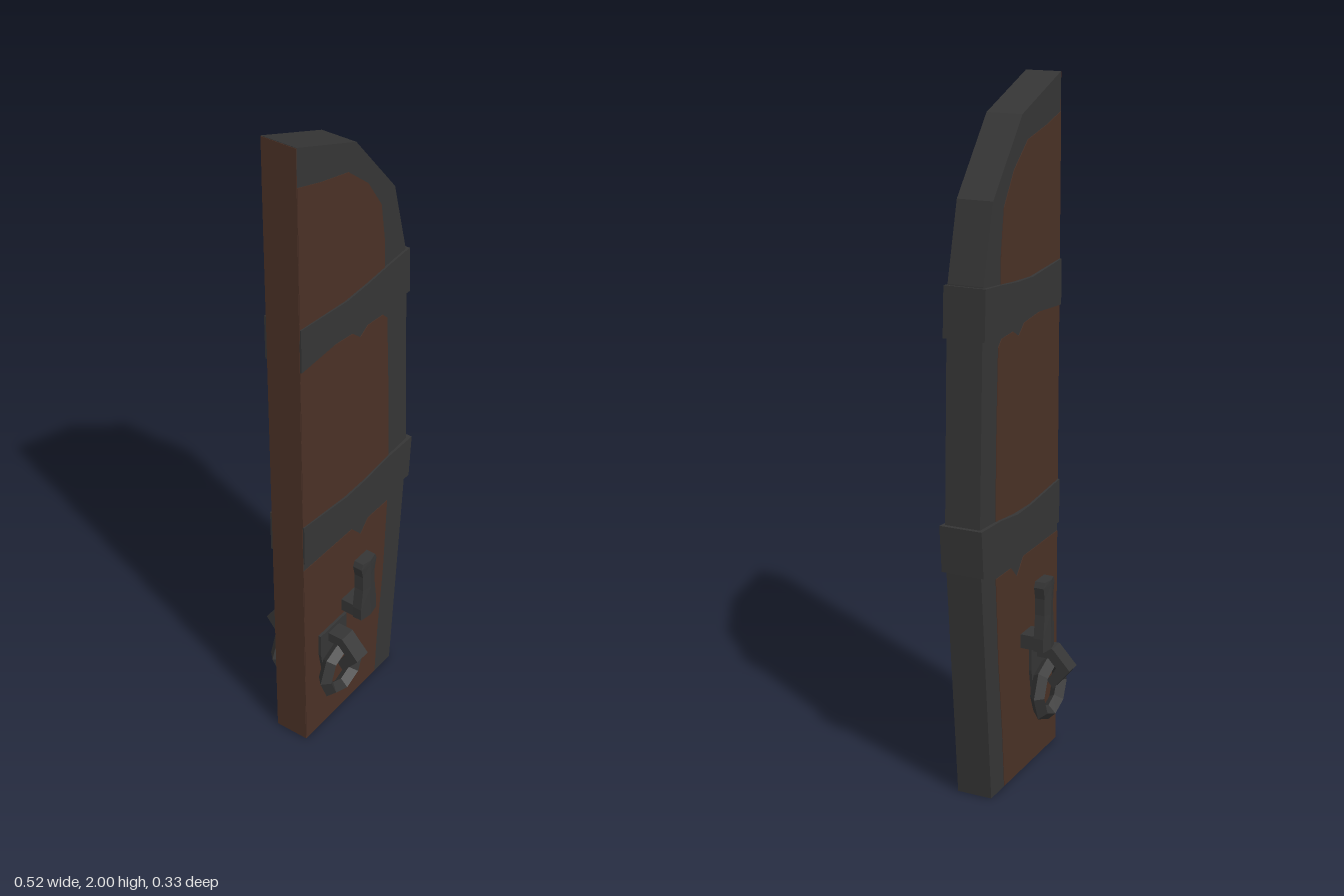
import * as THREE from 'three';

const wood = new THREE.MeshStandardMaterial({ name: 'brownWood', color: 0x4a3126, flatShading: true });
const iron = new THREE.MeshStandardMaterial({ name: 'darkIron', color: 0x353535, flatShading: true });

function mesh(name, geometry, material) {
  const m = new THREE.Mesh(geometry, material);
  m.name = name;
  return m;
}

// Extrudes a closed outline, centred on z = 0.
function slab(points, depth) {
  const shape = new THREE.Shape(points.map(([x, y]) => new THREE.Vector2(x, y)));
  return new THREE.ExtrudeGeometry(shape, { depth, bevelEnabled: false }).translate(0, 0, -depth / 2);
}

// Joins cross-sections (counter-clockwise seen from the far end) and caps both ends.
function loft(rings) {
  const pos = [];
  const tri = (a, b, c) => pos.push(...a, ...b, ...c);
  const n = rings[0].length;
  for (let s = 0; s < rings.length - 1; s++) {
    for (let i = 0; i < n; i++) {
      const j = (i + 1) % n;
      tri(rings[s][i], rings[s][j], rings[s + 1][j]);
      tri(rings[s][i], rings[s + 1][j], rings[s + 1][i]);
    }
  }
  const first = rings[0], last = rings[rings.length - 1];
  for (let i = 1; i < n - 1; i++) {
    tri(first[0], first[i + 1], first[i]);
    tri(last[0], last[i], last[i + 1]);
  }
  const g = new THREE.BufferGeometry();
  g.setAttribute('position', new THREE.Float32BufferAttribute(pos, 3));
  g.computeVertexNormals();
  return g;
}

// Strap from stations [x bottom, x top, y bottom, y top, z back, z front].
function strap(stations) {
  return loft(stations.map(([xb, xt, yb, yt, zb, zf]) => [
    [xb, yb, zb], [xt, yt, zb], [xt, yt, zf], [xb, yb, zf],
  ]));
}

// Upright bracket handle with a ridged face, narrowing at the waist.
function makeHandle() {
  const g = new THREE.Group();
  g.name = 'bracketHandle';
  const stations = [[0.39, 0.037], [0.43, 0.038], [0.5, 0.029], [0.55, 0.029], [0.585, 0.037], [0.602, 0.03]];
  g.add(mesh('handleGrip', loft(stations.map(([y, w]) => [
    [-w, y, 0.097], [-w, y, 0.127], [0, y, 0.134], [w, y, 0.127], [w, y, 0.097],
  ])), iron));
  const arm = mesh('handleArm', new THREE.BoxGeometry(0.07, 0.042, 0.07), iron);
  arm.position.set(0, 0.413, 0.08);
  g.add(arm);
  return g;
}

// Ring pull hanging from a hook on a small back plate.
function makeKnocker() {
  const g = new THREE.Group();
  g.name = 'ringPull';
  const plate = slab([
    [-0.048, 0.215], [0.048, 0.215], [0.064, 0.3], [0.064, 0.375], [-0.064, 0.375], [-0.064, 0.3],
  ], 0.016);
  plate.translate(0, 0, 0.055);
  g.add(mesh('backPlate', plate, iron));

  const hook = slab([
    [0.05, 0.33], [0.1, 0.33], [0.125, 0.302], [0.095, 0.262], [0.115, 0.238],
    [0.167, 0.302], [0.112, 0.362], [0.05, 0.362],
  ], 0.052);
  hook.rotateY(-Math.PI / 2);
  g.add(mesh('hook', hook, iron));

  const ring = mesh('ring', new THREE.TorusGeometry(0.079, 0.023, 4, 8), iron);
  ring.position.set(0, 0.226, 0.089);
  g.add(ring);
  return g;
}

export function createModel() {
  const model = new THREE.Group();
  model.name = 'doorLeaf';

  // Iron-rimmed leaf with a half-arched top
  model.add(mesh('rim', slab([
    [-0.26, 0], [0.175, 0], [0.241, 0.77], [0.22, 1.4], [0.213, 1.49],
    [0.157, 1.705], [-0.017, 1.91], [-0.26, 2],
  ], 0.106), iron));

  // Wooden panels, showing on both faces
  const panels = {
    lowerPanel: [
      [-0.26, 0.002], [0.093, 0.002], [0.105, 0.17], [0.13, 0.4], [0.146, 0.657],
      [0.05, 0.657], [0.013, 0.62], [-0.03, 0.667], [-0.26, 0.67],
    ],
    middlePanel: [
      [-0.26, 0.8], [0.148, 0.8], [0.14, 1.1], [0.13, 1.31], [0.11, 1.33],
      [0.04, 1.335], [0.005, 1.315], [-0.03, 1.345], [-0.26, 1.37],
    ],
    upperPanel: [
      [-0.26, 1.45], [0.115, 1.45], [0.113, 1.56], [0.095, 1.68], [0.035, 1.77],
      [-0.05, 1.84], [-0.165, 1.865], [-0.26, 1.892],
    ],
  };
  for (const [name, outline] of Object.entries(panels)) model.add(mesh(name, slab(outline, 0.109), wood));

  // Bare wooden meeting edge
  const edge = mesh('meetingEdge', new THREE.BoxGeometry(0.002, 1.997, 0.106), wood);
  edge.position.set(-0.2605, 1, 0);
  model.add(edge);

  // Slightly uneven wraparound straps
  model.add(mesh('lowerStrap', strap([
    [-0.26, -0.26, 0.698, 0.83, -0.06, 0.058],
    [-0.065, -0.065, 0.69, 0.812, -0.062, 0.061],
    [0.035, 0.035, 0.695, 0.814, -0.068, 0.06],
    [0.13, 0.13, 0.698, 0.824, -0.063, 0.059],
    [0.243, 0.254, 0.693, 0.83, -0.065, 0.063],
  ]), iron));
  model.add(mesh('upperStrap', strap([
    [-0.26, -0.26, 1.35, 1.482, -0.06, 0.058],
    [-0.065, -0.065, 1.364, 1.467, -0.064, 0.06],
    [0.035, 0.035, 1.357, 1.472, -0.068, 0.06],
    [0.13, 0.13, 1.35, 1.48, -0.063, 0.059],
    [0.23, 0.223, 1.346, 1.487, -0.064, 0.06],
  ]), iron));

  // Matching hardware on both faces
  for (const [side, turn] of [['front', 0], ['back', Math.PI]]) {
    const handle = makeHandle();
    handle.name = side + 'Handle';
    handle.position.x = -0.047;
    handle.rotation.y = turn;
    const knocker = makeKnocker();
    knocker.name = side + 'RingPull';
    knocker.position.x = -0.132;
    knocker.rotation.y = turn;
    model.add(handle, knocker);
  }
  return model;
}
